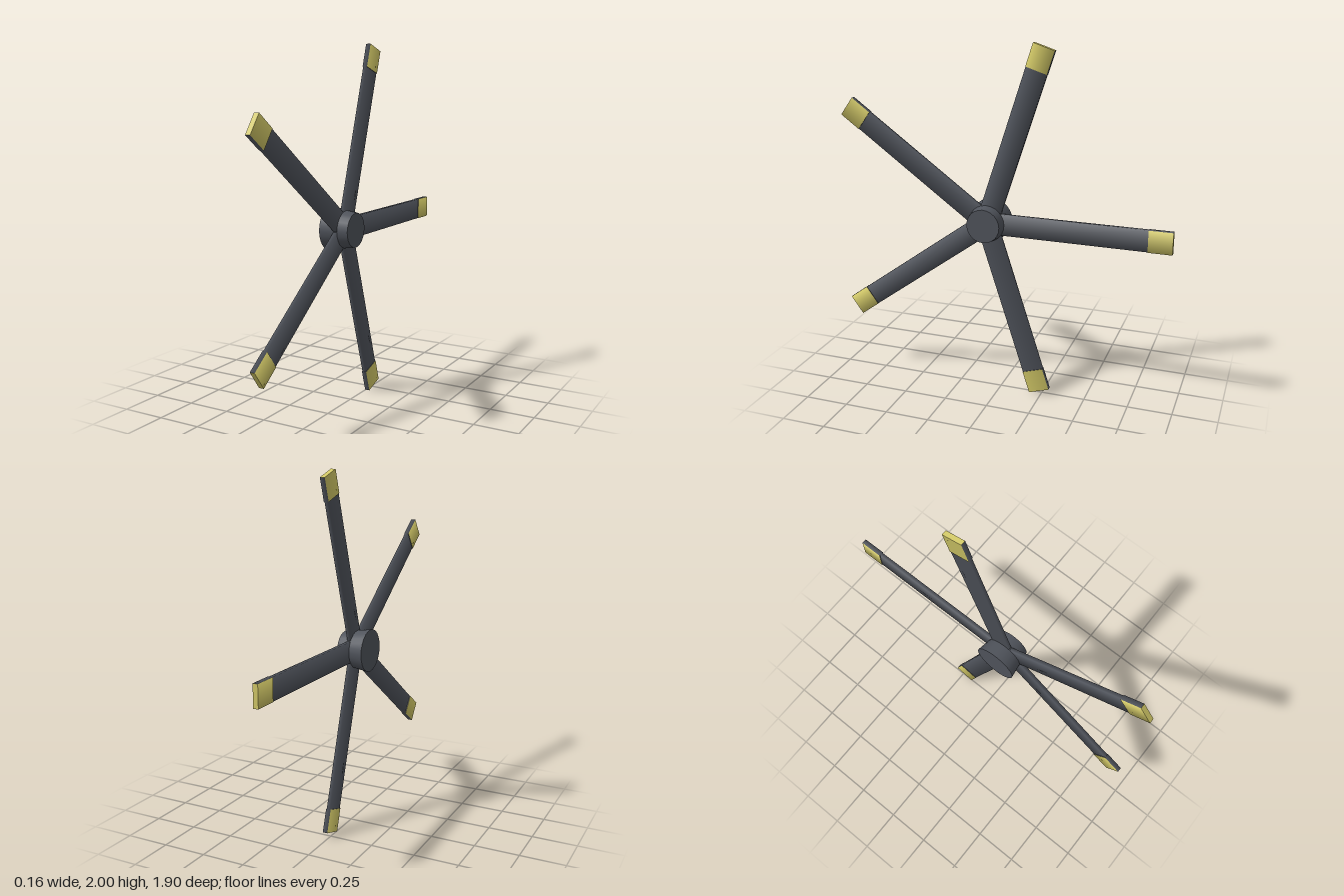
import * as THREE from 'three';

const grey = new THREE.MeshStandardMaterial({ color: 0x50545c });
grey.name = 'dark grey';
const yellow = new THREE.MeshStandardMaterial({ color: 0xd4ca68 });
yellow.name = 'pale yellow';

const HUB_Z = 0.08;
const BLADES = 5;
const WIDTH = 0.12;
const TIP_START = 0.9;
const LENGTH = 1.03;

// Flat bar running along -z, with normals rounded across its width
function bar(thickness, width, from, to) {
  const geo = new THREE.BoxGeometry(thickness, width, to - from);
  geo.translate(0, 0, -(from + to) / 2);
  const pos = geo.attributes.position;
  const nor = geo.attributes.normal;
  for (let i = 0; i < pos.count; i++) {
    if (Math.abs(nor.getZ(i)) > 0.5) continue; // the ends stay flat
    nor.setXYZ(i, Math.sign(pos.getX(i)) * Math.SQRT1_2, Math.sign(pos.getY(i)) * Math.SQRT1_2, 0);
  }
  return geo;
}

export function createModel() {
  const model = new THREE.Group();
  model.name = 'rotor';

  // Tapered hub, narrower towards +x
  const hub = new THREE.Mesh(new THREE.CylinderGeometry(0.095, 0.12, 0.16, 24), grey);
  hub.name = 'hub';
  hub.rotation.z = -Math.PI / 2;
  hub.position.set(0, 1, HUB_Z);
  model.add(hub);

  // Blades with slightly thicker painted tips; the tip's narrow edges stay grey
  const bladeGeo = bar(0.021, WIDTH, 0, TIP_START + 0.01);
  const tipGeo = bar(0.028, WIDTH + 0.002, TIP_START, LENGTH);
  const tipColours = [yellow, yellow, grey, grey, grey, yellow];
  for (let i = 0; i < BLADES; i++) {
    const arm = new THREE.Group();
    arm.name = `bladeArm${i + 1}`;
    const blade = new THREE.Mesh(bladeGeo, grey);
    blade.name = 'blade';
    const tip = new THREE.Mesh(tipGeo, tipColours);
    tip.name = 'bladeTip';
    arm.add(blade, tip);
    arm.position.set(0.011, 1, HUB_Z);
    arm.rotation.x = (i * 2 * Math.PI) / BLADES;
    model.add(arm);
  }
  return model;
}
